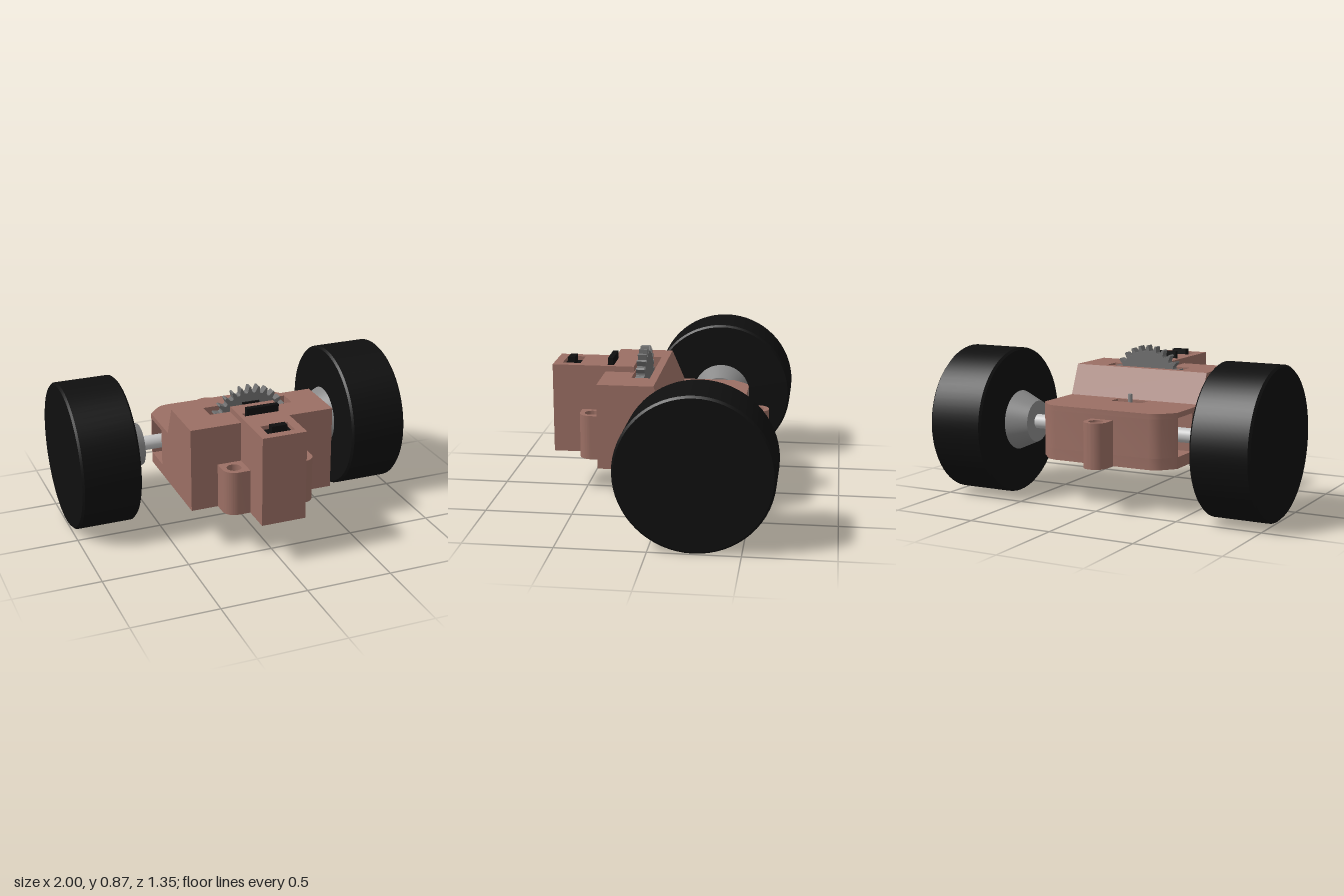
import * as THREE from 'three';
import { toCreasedNormals } from 'three/addons/utils/BufferGeometryUtils.js';

const mat = (name, color) => {
  const m = new THREE.MeshStandardMaterial({ color });
  m.name = name;
  return m;
};

export function createModel() {
  const model = new THREE.Group();
  const shell = mat('shell brown', 0x9b6f64);
  const black = mat('rubber black', 0x0f0f0f);
  const grey = mat('hub grey', 0x888888);
  const gearGrey = mat('gear grey', 0x707070);
  const metal = mat('axle metal', 0xc4c4c4);

  const add = (name, geo, material, parent = model) => {
    const mesh = new THREE.Mesh(geo, material);
    mesh.name = name;
    parent.add(mesh);
    return mesh;
  };
  // Box given by its ranges on each axis
  const box = (name, m, x0, x1, y0, y1, z0, z1) => {
    const g = new THREE.BoxGeometry(x1 - x0, y1 - y0, z1 - z0);
    g.translate((x0 + x1) / 2, (y0 + y1) / 2, (z0 + z1) / 2);
    return add(name, g, m);
  };
  const rect = (x0, x1, z0, z1) => [[x0, z0], [x1, z0], [x1, z1], [x0, z1]];
  const toShape = pts => new THREE.Shape(pts.map(p => new THREE.Vector2(...p)));
  // Upright slab from a plan drawn in x and z
  const slab = (name, shape, y0, y1, holes = []) => {
    holes.forEach(h => shape.holes.push(toShape(h)));
    const g = new THREE.ExtrudeGeometry(shape, { depth: y1 - y0, bevelEnabled: false, curveSegments: 16 });
    g.rotateX(Math.PI / 2).translate(0, y1, 0);
    return add(name, toCreasedNormals(g, 0.6), shell);
  };

  // Housing: three layers, the middle one notched around the axle
  const W = 0.427, B = 0.255, LOW = 0.57, TOP = 0.745;
  const half = [[W, -0.34], [0.365, -0.41], [0.338, -0.431], [0.3, -0.44]];
  const notch = [[W, -0.15], [0.28, -0.15], [0.28, -0.33], [W, -0.33]];
  const plan = side => {
    const right = [[W, 0.36], ...side, ...half];
    return toShape([...right, ...right.map(([x, z]) => [-x, z]).reverse()]);
  };
  const slot = rect(-0.105, 0.105, 0.315, 0.355);
  const gearWell = rect(-0.25, 0.25, 0.085, 0.19);
  const rearWell = rect(-0.1, 0.1, -0.14, -0.055);
  slab('housingFloor', plan([]), B, 0.32, [slot]);
  slab('housingMiddle', plan(notch), 0.32, 0.54, [slot, gearWell, rearWell]);
  slab('housingDeck', plan([]), 0.54, LOW, [slot, gearWell, rearWell]);

  // Raised front housing with a gear well and a sloped back
  slab('raisedHousing', toShape(rect(-W, W, 0.04, 0.36)), LOW, TOP, [slot, gearWell]);
  const slope = new THREE.ExtrudeGeometry(toShape([[0.035, LOW], [-0.04, LOW], [-0.04, TOP]]),
    { depth: 2 * W, bevelEnabled: false });
  slope.rotateY(Math.PI / 2).translate(-W, 0, 0);
  add('slopedBack', slope, shell);

  // Nose block with a switch pocket
  slab('noseLower', toShape(rect(-0.13, 0.13, 0.36, 0.67)), B, 0.72);
  slab('noseUpper', toShape(rect(-0.13, 0.13, 0.36, 0.67)), 0.72, 0.778,
    [rect(-0.08, 0.08, 0.515, 0.62)]);
  slab('noseCap', toShape(rect(-0.13, 0.13, 0.195, 0.36)), TOP, 0.778, [slot]);
  box('switchBase', black, -0.08, 0.08, 0.721, 0.755, 0.515, 0.62);
  box('switchLever', black, -0.045, 0.045, 0.75, 0.803, 0.555, 0.595);
  box('slotPlate', black, -0.09, 0.1, 0.265, 0.818, 0.32, 0.35);

  // Screw lugs
  const lug = (name, x, z, dir, inner) => {
    const s = new THREE.Shape();
    const r = 0.07;
    if (dir < 0) {
      s.moveTo(x + r, -0.43);
      s.lineTo(x - r, -0.43);
      s.absarc(x, z, r, Math.PI, 2 * Math.PI, false);
    } else {
      // One outer corner is rounded, the other joins the nose
      s.moveTo(inner, 0.35);
      s.lineTo(inner, z + r);
      s.lineTo(x, z + r);
      const right = x > 0;
      s.absarc(x, z, r, Math.PI / 2, right ? 0 : Math.PI, right);
      s.lineTo(x + (right ? r : -r), 0.35);
    }
    s.closePath();
    const hole = new THREE.Path();
    hole.absarc(x, z, 0.041, 0, 2 * Math.PI, false);
    s.holes.push(hole);
    slab(name, s, B, 0.515);
  };
  lug('rearLug', -0.008, -0.51, -1);
  lug('frontLeftLug', 0.2, 0.43, 1, 0.128);
  lug('frontRightLug', -0.2, 0.43, 1, -0.128);

  // Spur gear standing in its well
  const teeth = 28, outline = [];
  for (let i = 0; i < teeth; i++) {
    [[0, 0.2], [0.22, 0.205], [0.4, 0.237], [0.6, 0.237], [0.78, 0.205]].forEach(([f, r]) => {
      const a = (i + f - 0.5) / teeth * Math.PI * 2 + Math.PI / 2;
      outline.push([Math.cos(a) * r, Math.sin(a) * r]);
    });
  }
  const gear = new THREE.ExtrudeGeometry(toShape(outline), { depth: 0.05, bevelEnabled: false });
  add('spurGear', gear, gearGrey).position.set(0, 0.633, 0.125);
  box('gearPointer', black, -0.05, 0.05, 0.58, 0.785, 0.176, 0.189);

  // Gearbox parts seen through the rear opening
  box('gearboxBlock', metal, -0.1, 0.1, 0.32, 0.49, -0.14, -0.055);
  add('steeringBoss', new THREE.CylinderGeometry(0.045, 0.05, 0.06, 24), gearGrey).position.set(0, 0.52, -0.09);
  add('steeringPin', new THREE.CylinderGeometry(0.013, 0.013, 0.1, 12), grey).position.set(0, 0.56, -0.09);

  // Axle
  const axle = new THREE.CylinderGeometry(0.042, 0.042, 1.2, 32).rotateZ(Math.PI / 2);
  add('axle', axle, metal).position.set(0, 0.43, -0.245);

  // Wheels with tapered hubs
  const turned = pts => toCreasedNormals(
    new THREE.LatheGeometry(pts.map(p => new THREE.Vector2(...p)), 64), 0.5);
  for (const side of [1, -1]) {
    const wheel = new THREE.Group();
    wheel.name = side > 0 ? 'leftWheel' : 'rightWheel';
    wheel.position.set(0, 0.43, -0.245);
    wheel.rotation.z = -side * Math.PI / 2;
    add('tyre', turned([[0, 0.655], [0.418, 0.655], [0.43, 0.667], [0.43, 0.988], [0.418, 1], [0, 1]]), black, wheel);
    add('hub', turned([[0, 0.535], [0.122, 0.535], [0.177, 0.66], [0, 0.66]]), grey, wheel);
    model.add(wheel);
  }
  return model;
}
